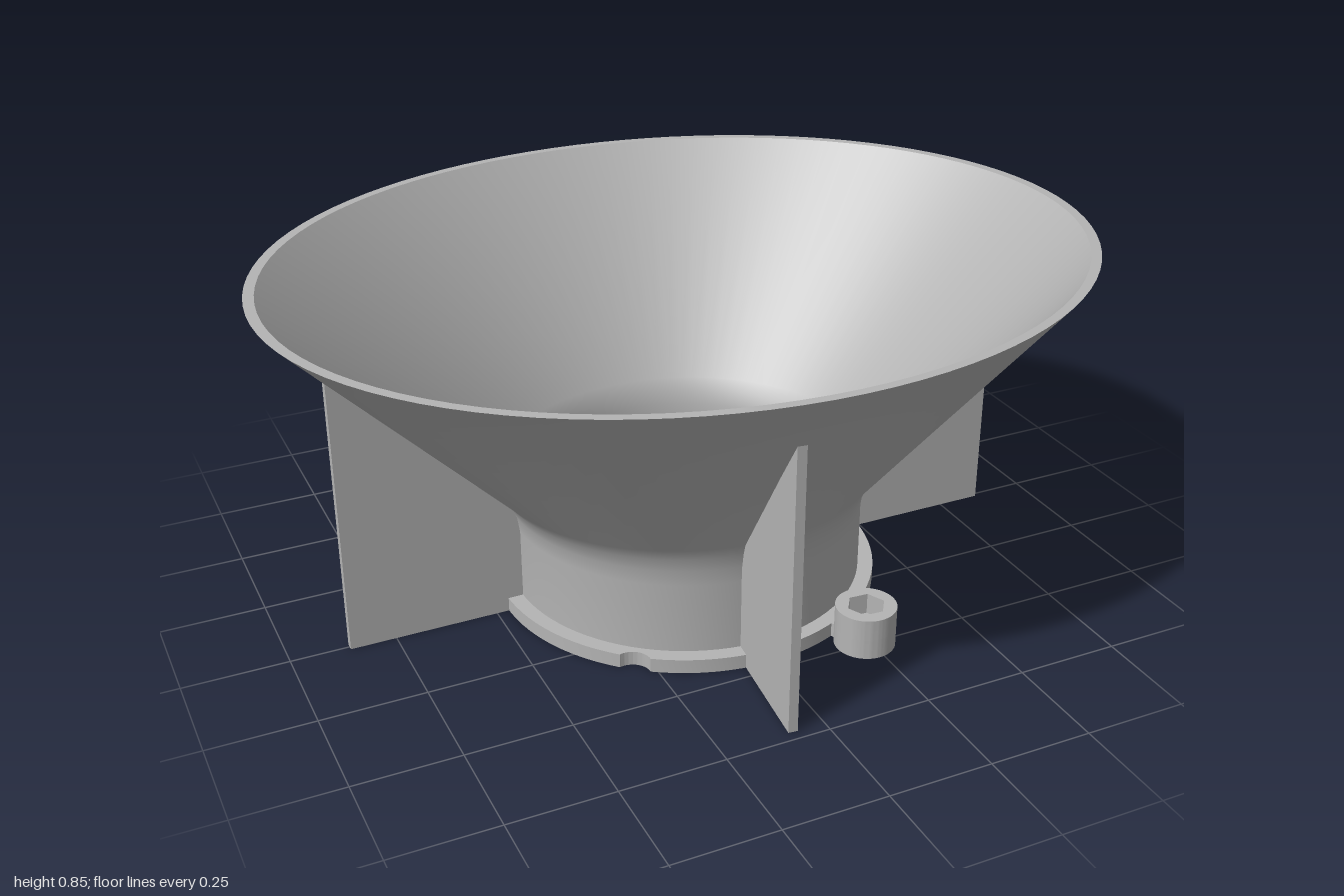
import * as THREE from 'three';
import { toCreasedNormals } from 'three/addons/utils/BufferGeometryUtils.js';

const grey = new THREE.MeshStandardMaterial({ color: 0xb4b4b4 });
grey.name = 'plastic grey';

function part(name, geometry, parent) {
  const mesh = new THREE.Mesh(geometry, grey);
  mesh.name = name;
  parent.add(mesh);
  return mesh;
}

// Extrude a plan outline upward from y0
function slab(shape, y0, height) {
  const g = new THREE.ExtrudeGeometry(shape, { depth: height, bevelEnabled: false, curveSegments: 48 });
  g.rotateX(-Math.PI / 2);
  g.translate(0, y0, 0);
  return toCreasedNormals(g, 0.5);
}

function circle(r) {
  return new THREE.Path().absarc(0, 0, r, 0, Math.PI * 2, false);
}

function disc(r, hole) {
  const s = new THREE.Shape().absarc(0, 0, r, 0, Math.PI * 2, false);
  s.holes.push(hole);
  return s;
}

// Round neck that flares into an elliptical mouth: [x radius, z radius, y]
function funnelGeometry() {
  const profile = [
    [0.975, 0.806, 0.845], [0.452, 0.428, 0.315], [0.428, 0.415, 0.285], [0.412, 0.407, 0.25],
    [0.405, 0.405, 0.21], [0.405, 0.405, 0],
    [0.433, 0.433, 0], [0.433, 0.433, 0.21], [0.439, 0.435, 0.25], [0.455, 0.442, 0.285],
    [0.48, 0.452, 0.315], [1, 0.828, 0.845], [0.975, 0.806, 0.845],
  ];
  const g = new THREE.LatheGeometry(profile.map(([x, , y]) => new THREE.Vector2(x, y)), 96);
  const pos = g.attributes.position;
  for (let i = 0; i < pos.count; i++) {
    const [rx, rz] = profile[i % profile.length];
    pos.setZ(i, pos.getZ(i) * rz / rx);
  }
  return toCreasedNormals(g, 0.6);
}

// Base ring with a round bite taken from its edge
function flangeGeometry() {
  const R = 0.47, r = 0.045, cx = -0.31, cy = -0.386;
  const d = Math.hypot(cx, cy), a = Math.atan2(cy, cx);
  const half = Math.acos((R * R + d * d - r * r) / (2 * R * d));
  const bite = Math.acos((d * d + r * r - R * R) / (2 * d * r));
  const s = new THREE.Shape();
  s.absarc(0, 0, R, a + half, a - half + Math.PI * 2, false);
  s.absarc(cx, cy, r, a + Math.PI + bite, a + Math.PI - bite, true);
  s.holes.push(circle(0.405));
  return slab(s, 0, 0.035);
}

// Upright support plate following the underside of the funnel
function finGeometry(reach, top, shoulder) {
  const t = 0.022;
  const s = new THREE.Shape([
    [0.42, 0], [reach, 0], [reach, top], [shoulder, 0.315], [0.42, 0.24],
  ].map(([x, y]) => new THREE.Vector2(x, y)));
  const g = new THREE.ExtrudeGeometry(s, { depth: t, bevelEnabled: false });
  g.translate(0, 0, -t / 2);
  return g;
}

// Screw boss: narrow bore below, hexagonal nut pocket above
function addBoss(parent, x, z, name) {
  const boss = new THREE.Group();
  boss.name = name;
  boss.position.set(x, 0, z);
  const hex = new THREE.Path();
  for (let i = 0; i <= 6; i++) {
    const a = i * Math.PI / 3;
    hex[i ? 'lineTo' : 'moveTo'](0.046 * Math.cos(a), 0.046 * Math.sin(a));
  }
  part('bossBase', slab(disc(0.072, circle(0.022)), 0, 0.05), boss);
  part('nutPocket', slab(disc(0.072, hex), 0.05, 0.052), boss);
  boss.rotation.y = Math.atan2(-z, x);
  parent.add(boss);
  return boss;
}

export function createModel() {
  const model = new THREE.Group();
  model.name = 'funnel';
  part('funnelBody', funnelGeometry(), model);
  part('baseFlange', flangeGeometry(), model);

  // Side fins, then front and back fins turned slightly towards -x
  const skew = 0.107;
  const side = finGeometry(0.86, 0.703, 0.472);
  const end = finGeometry(0.729, 0.7, 0.446);
  part('leftFin', side, model);
  part('rightFin', side, model).rotation.y = Math.PI;
  part('frontFin', end, model).rotation.y = -Math.PI / 2 - skew;
  part('backFin', end, model).rotation.y = Math.PI / 2 + skew;

  // Two outer bosses joined by short necks, one against the flange
  for (const [z, name] of [[0.488, 'frontBoss'], [-0.488, 'backBoss']]) {
    const boss = addBoss(model, 0.238, z, name);
    const neck = part('bossNeck', new THREE.BoxGeometry(0.04, 0.035, 0.06), boss);
    neck.position.set(-0.075, 0.0175, 0);
  }
  addBoss(model, -0.31, -0.386, 'rearRightBoss');
  return model;
}
